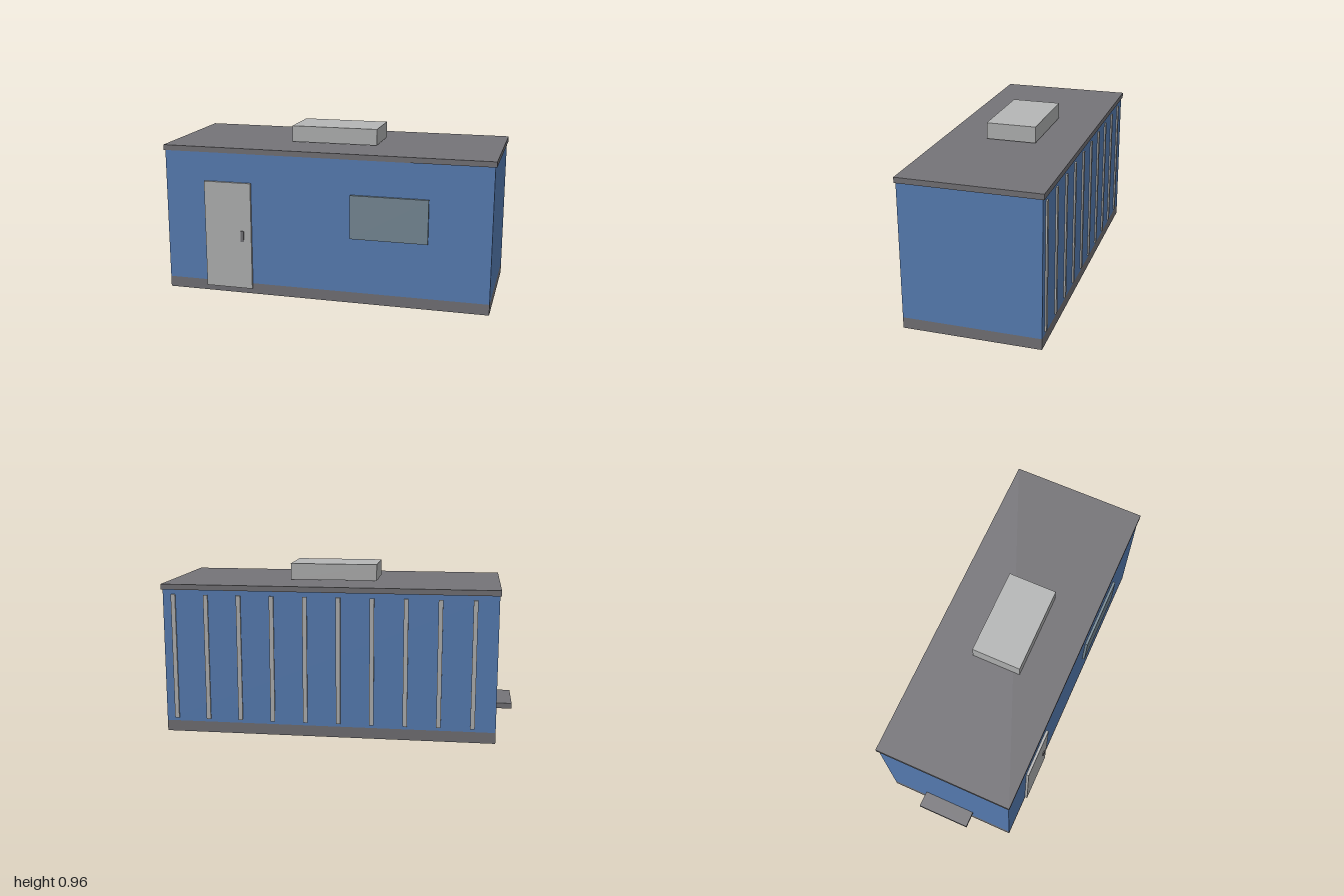
import * as THREE from 'three';

const mat = (name, color) => {
  const m = new THREE.MeshStandardMaterial({ color });
  m.name = name;
  return m;
};

export function createModel() {
  const blue = mat('wall blue', 0x5980b8);
  const dark = mat('trim dark grey', 0x757478);
  const light = mat('panel light grey', 0xb5b6b6);
  const glass = mat('window glass', 0x798c98);

  const model = new THREE.Group();
  model.name = 'cabin';

  // Box given by its extents along each axis
  const box = (name, material, [x0, x1], [y0, y1], [z0, z1], parent = model) => {
    const mesh = new THREE.Mesh(new THREE.BoxGeometry(x1 - x0, y1 - y0, z1 - z0), material);
    mesh.position.set((x0 + x1) / 2, (y0 + y1) / 2, (z0 + z1) / 2);
    mesh.name = name;
    parent.add(mesh);
    return mesh;
  };

  // Shell
  const X = [-0.907, 0.988], Z = [-0.392, 0.381];
  box('base', dark, X, [0, 0.063], Z);
  box('walls', blue, X, [0.063, 0.834], Z);
  box('roof', dark, [-0.915, 0.996], [0.834, 0.865], [-0.401, 0.388]);

  // Rooftop unit, held just clear of the roof
  box('rooftopUnit', light, [-0.21, 0.293], [0.872, 0.965], [-0.148, 0.136]);

  // Front door, handle and window
  box('door', light, [-0.667, -0.386], [0.034, 0.665], [0.37, 0.396]);
  box('doorHandle', dark, [-0.448, -0.429], [0.318, 0.381], [0.39, 0.403]);
  box('window', glass, [0.198, 0.64], [0.383, 0.634], [0.37, 0.396]);

  // Step at the right end
  box('step', dark, [-1, -0.9], [0.145, 0.176], [-0.168, 0.142]);

  // Vertical ribs along the back wall
  const ribs = new THREE.Group();
  ribs.name = 'backRibs';
  model.add(ribs);
  for (let i = 0; i < 10; i++) {
    const x = 0.927 - i * 0.1895;
    box('rib', light, [x - 0.0125, x + 0.0125], [0.081, 0.807], [-0.401, -0.38], ribs);
  }

  return model;
}
